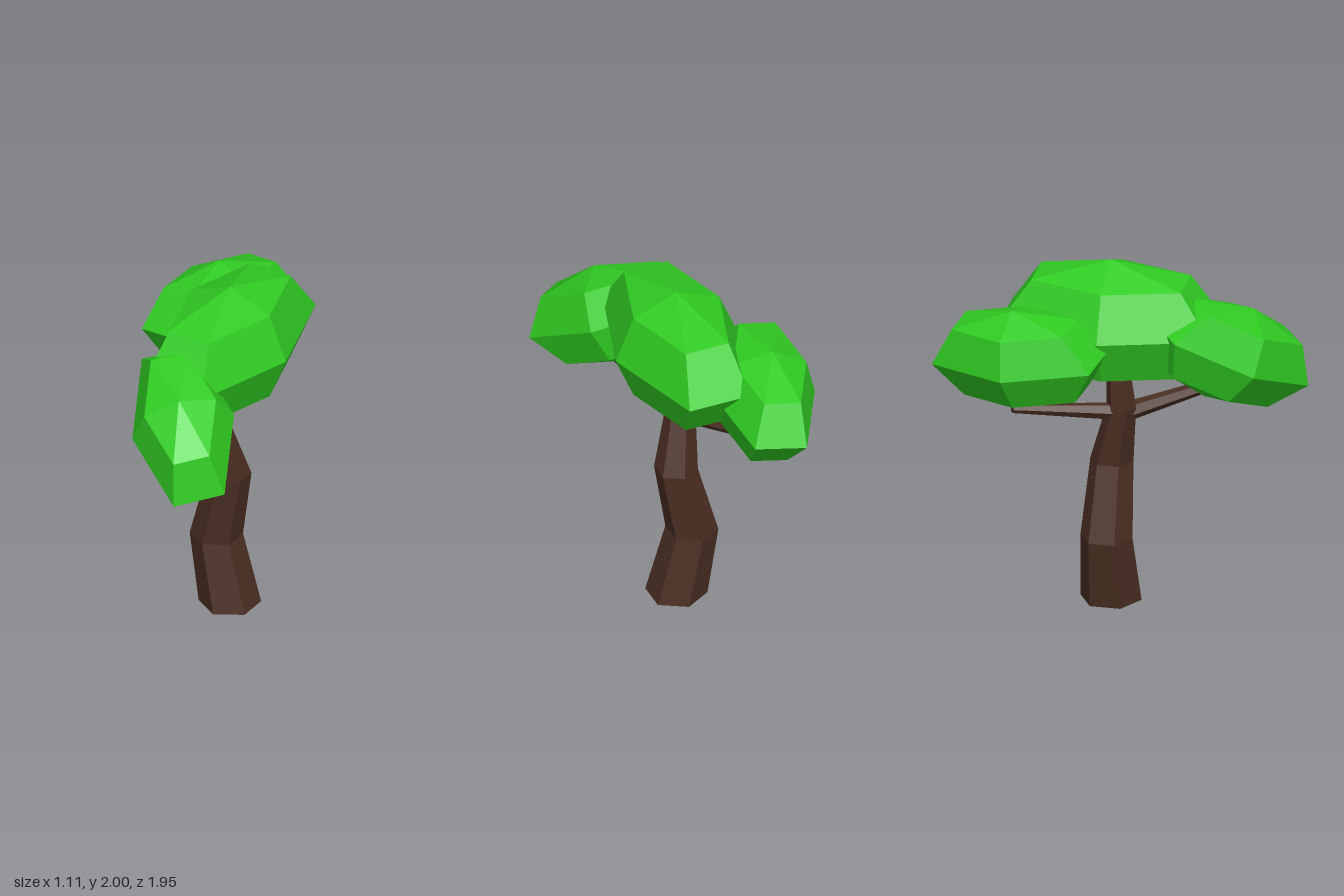
import * as THREE from 'three';

const leaf = new THREE.MeshStandardMaterial({ color: 0x30cc22, flatShading: true });
const bark = new THREE.MeshStandardMaterial({ color: 0x4a2e22, flatShading: true });

function addMesh(parent, name, geometry, material) {
  const mesh = new THREE.Mesh(geometry, material);
  mesh.name = name;
  parent.add(mesh);
  return mesh;
}

// Six-sided ellipsoid placed by its centre and three half-axis vectors
function foliage(center, xAxis, yAxis, zAxis) {
  const m = new THREE.Matrix4().makeBasis(
    new THREE.Vector3(...xAxis), new THREE.Vector3(...yAxis), new THREE.Vector3(...zAxis));
  m.setPosition(...center);
  return new THREE.SphereGeometry(1, 6, 4).applyMatrix4(m);
}

// Six-sided trunk through horizontal rings [x, y, z, radius], bottom to top
function trunkGeometry(rings) {
  const n = rings.length - 1;
  const geo = new THREE.CylinderGeometry(1, 1, 1, 6, n);
  const p = geo.attributes.position;
  for (let i = 0; i < p.count; i++) {
    const [x, y, z, r] = rings[Math.round((p.getY(i) + 0.5) * n)];
    p.setXYZ(i, x + p.getX(i) * r, y, z + p.getZ(i) * r);
  }
  geo.computeVertexNormals();
  return geo;
}

// Tapered limb between two points
function branchGeometry(from, to, r0, r1) {
  const a = new THREE.Vector3(...from), b = new THREE.Vector3(...to);
  const dir = b.clone().sub(a);
  const geo = new THREE.CylinderGeometry(r1, r0, dir.length(), 6);
  geo.applyQuaternion(new THREE.Quaternion().setFromUnitVectors(
    new THREE.Vector3(0, 1, 0), dir.normalize()));
  const mid = a.add(b).multiplyScalar(0.5);
  return geo.translate(mid.x, mid.y, mid.z);
}

export function createModel() {
  const tree = new THREE.Group();
  tree.name = 'tree';

  // Crooked trunk
  addMesh(tree, 'trunk', trunkGeometry([
    [0.05, 0, -0.06, 0.17],
    [-0.04, 0.4, -0.065, 0.145],
    [0.05, 0.82, -0.055, 0.12],
    [-0.005, 1.16, 0.01, 0.082],
    [-0.015, 1.33, 0, 0.07],
  ]), bark);

  // Limbs reaching into the side foliage
  addMesh(tree, 'frontBranch', branchGeometry([0.01, 1.11, 0], [0.2, 1.29, 0.56], 0.055, 0.03), bark);
  addMesh(tree, 'backBranch', branchGeometry([0, 1.13, 0.02], [-0.3, 1.22, -0.53], 0.05, 0.025), bark);

  // Leaf masses
  addMesh(tree, 'topFoliage', foliage(
    [0.05, 1.64, -0.06], [0.36, 0, 0], [0, 0.36, 0], [0, 0, 0.68]), leaf);
  addMesh(tree, 'frontFoliage', foliage(
    [0.15, 1.47, 0.575], [0.21, 0.05, -0.185], [0.052, 0.25, 0.127], [0.34, -0.25, 0.352]), leaf);
  addMesh(tree, 'backFoliage', foliage(
    [-0.275, 1.52, -0.49], [0.285, 0.04, 0.05], [-0.04, 0.285, -0.04], [-0.11, 0.058, 0.53]), leaf);

  return tree;
}
